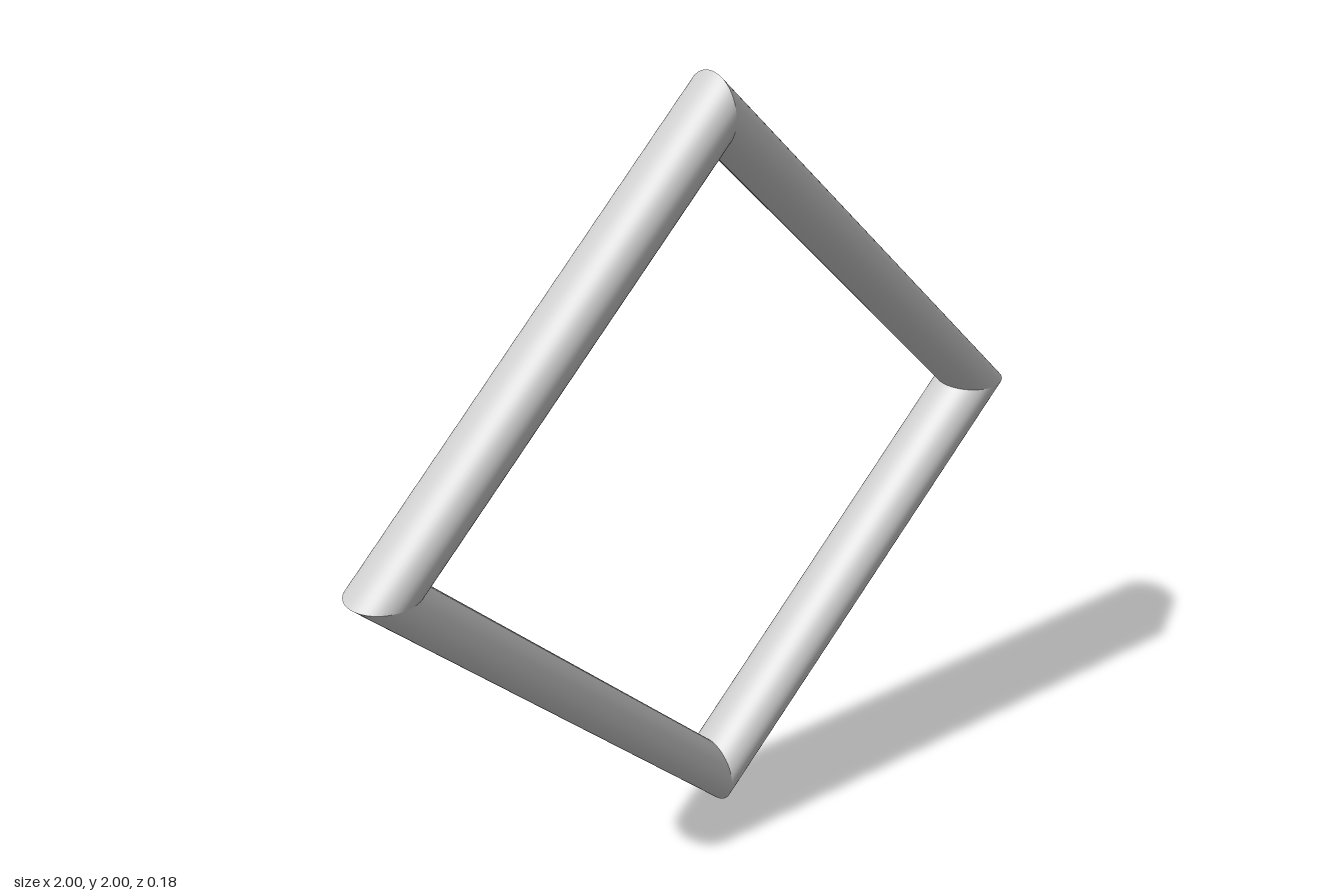
import * as THREE from 'three';
import { toCreasedNormals } from 'three/addons/utils/BufferGeometryUtils.js';

export function createModel() {
  const group = new THREE.Group();
  group.name = 'diamondFrame';
  const material = new THREE.MeshStandardMaterial({ color: 0xcccccc });

  // One straight mitred bar: a quarter ring with a single segment.
  // Its round profile is smooth and the mitres stay sharp.
  const bar = toCreasedNormals(
    new THREE.TorusGeometry(0.91, 0.09, 48, 1, Math.PI / 2), 0.5);

  // Four bars make the square frame standing on one corner
  ['upperLeftBar', 'upperRightBar', 'lowerRightBar', 'lowerLeftBar'].forEach((name, i) => {
    const mesh = new THREE.Mesh(bar, material);
    mesh.name = name;
    mesh.position.y = 1;
    mesh.rotation.z = i * Math.PI / 2;
    group.add(mesh);
  });

  return group;
}
